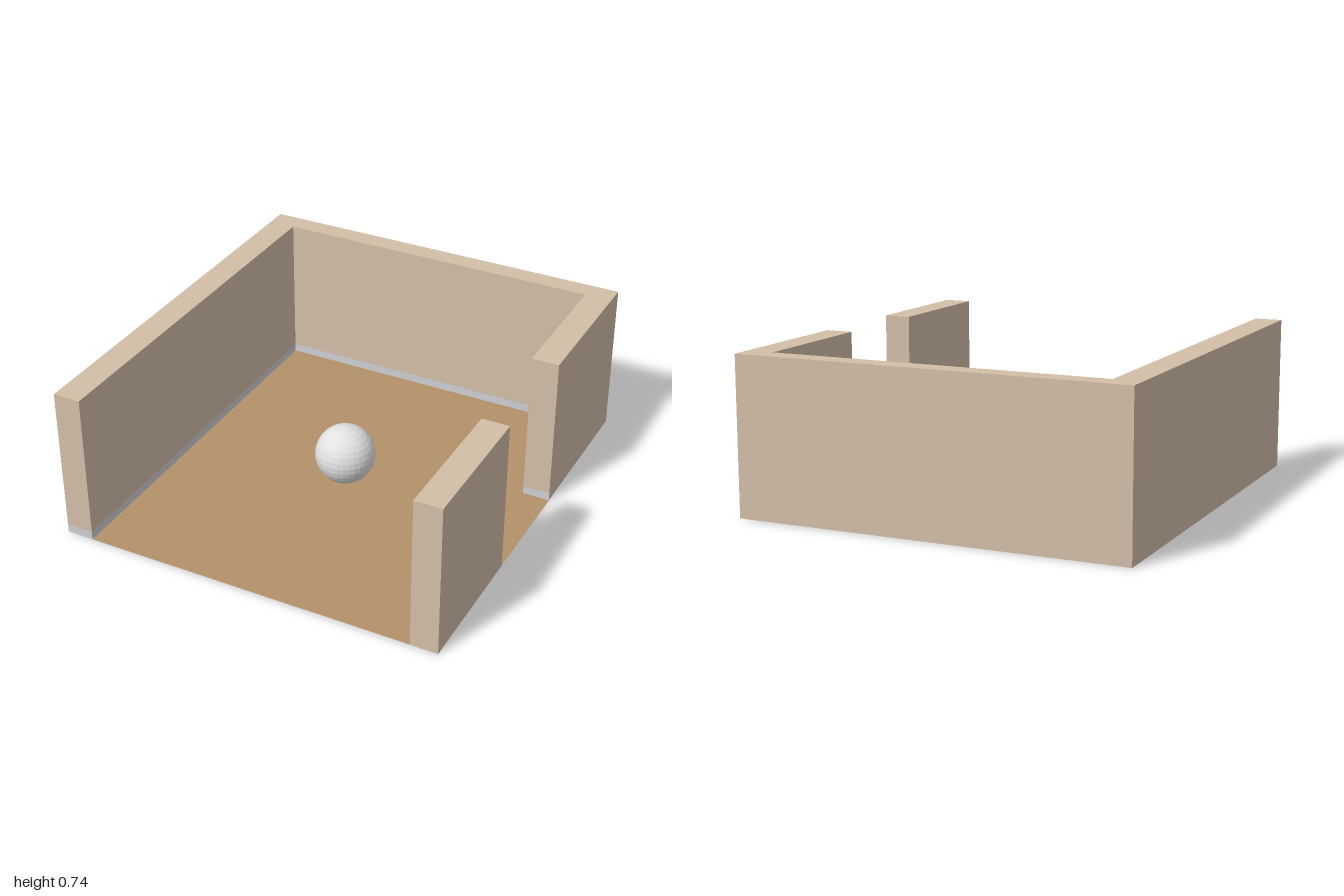
import * as THREE from 'three';

const H = 0.735;     // wall height
const SKIRT = 0.04;  // skirting board height

function material(name, color) {
  const m = new THREE.MeshStandardMaterial({ color, side: THREE.DoubleSide });
  m.name = name;
  return m;
}

// Vertical flat panels following a plan path of [x, z] points
function ribbon(path, y0, y1) {
  const pos = [];
  for (let i = 0; i < path.length - 1; i++) {
    const [ax, az] = path[i], [bx, bz] = path[i + 1];
    pos.push(ax, y0, az, bx, y0, bz, bx, y1, bz);
    pos.push(ax, y0, az, bx, y1, bz, ax, y1, az);
  }
  const g = new THREE.BufferGeometry();
  g.setAttribute('position', new THREE.Float32BufferAttribute(pos, 3));
  g.computeVertexNormals();
  return g;
}

// Horizontal face filling a plan outline, facing up
function slab(path, y) {
  const shape = new THREE.Shape(path.map(([x, z]) => new THREE.Vector2(x, -z)));
  return new THREE.ShapeGeometry(shape).rotateX(-Math.PI / 2).translate(0, y, 0);
}

export function createModel() {
  const wall = material('wall tan', 0xd2bfa8);
  const wood = material('floor brown', 0xb3926a);
  const grey = material('skirting grey', 0xcfd0d4);
  const white = new THREE.MeshStandardMaterial({ color: 0xe2e2e2 });
  white.name = 'ball white';
  white.flatShading = true;

  const model = new THREE.Group();
  model.name = 'openRoom';
  const add = (name, geometry, mat) => {
    const mesh = new THREE.Mesh(geometry, mat);
    mesh.name = name;
    model.add(mesh);
    return mesh;
  };

  // Main walls: hollow, open underneath, with skirting along the room side
  const outer = [[0.925, -0.23], [0.925, -1], [-0.925, -1], [-0.925, 1]];
  const inner = [[-0.925, 1], [-0.795, 1], [-0.795, -0.9], [0.795, -0.9], [0.795, -0.23], [0.925, -0.23]];
  add('outerWalls', ribbon(outer, 0, H), wall);
  add('innerWalls', ribbon(inner, SKIRT, H), wall);
  add('skirtingBoard', ribbon(inner, 0, SKIRT), grey);
  add('wallTops', slab([...outer, ...inner.slice(1, -1)], H), wall);

  // Short wall in front of the doorway
  const stub = [[0.925, 1], [0.925, 0.33], [0.795, 0.33], [0.795, 1]];
  add('doorwayWall', ribbon([...stub, stub[0]], 0, H), wall);
  add('doorwayWallTop', slab(stub, H), wall);

  // Floor, running out through the doorway
  add('floor', slab([
    [-0.795, 1], [0.795, 1], [0.795, 0.33], [0.925, 0.33],
    [0.925, -0.23], [0.795, -0.23], [0.795, -0.9], [-0.795, -0.9],
  ], 0), wood);

  // Ball on the floor
  add('ball', new THREE.SphereGeometry(0.143, 32, 16), white).position.set(0, 0.147, 0.05);

  return model;
}
